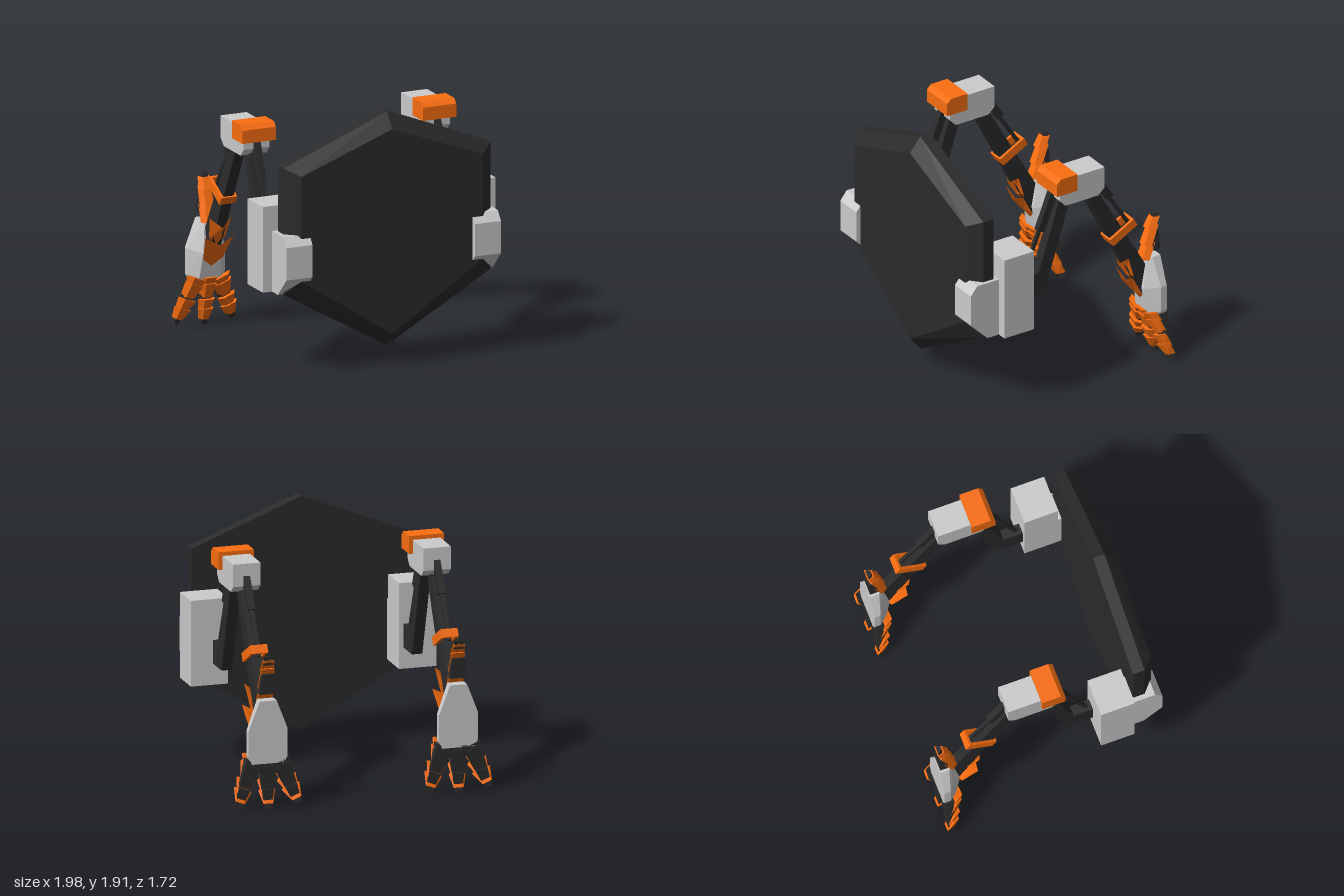
import * as THREE from 'three';
import { ConvexGeometry } from 'three/addons/geometries/ConvexGeometry.js';

const paint = (color) => new THREE.MeshStandardMaterial({ color, flatShading: true });
const grey = paint(0xcccccc);
const dark = paint(0x2b2b2b);
const orange = paint(0xfa6e10);
const thinOrange = paint(0xfa6e10);
thinOrange.side = THREE.DoubleSide;

function add(parent, name, geometry, material) {
  const mesh = new THREE.Mesh(geometry, material);
  mesh.name = name;
  parent.add(mesh);
  return mesh;
}

const hull = (points) => new ConvexGeometry(points.map((p) => new THREE.Vector3(...p)));

// Side profile of [z, y] points, extruded across x
function prism(profile, width) {
  const shape = new THREE.Shape(profile.map(([z, y]) => new THREE.Vector2(z, y)));
  const geo = new THREE.ExtrudeGeometry(shape, { depth: width, bevelEnabled: false });
  geo.rotateY(-Math.PI / 2);
  return geo.translate(width / 2, 0, 0);
}

// Straight bar between two [z, y] points
function bar([z0, y0], [z1, y1], thickness, width) {
  const len = Math.hypot(z1 - z0, y1 - y0);
  const nz = (-(y1 - y0) / len) * thickness / 2;
  const ny = ((z1 - z0) / len) * thickness / 2;
  return prism([[z0 + nz, y0 + ny], [z0 - nz, y0 - ny], [z1 - nz, y1 - ny], [z1 + nz, y1 + ny]], width);
}

// Hexagonal shield with a bevelled front
function shield() {
  const hex = (w, top, upper, lower, bottom, z) => [
    [0, top, z], [w, upper, z], [w, lower, z], [0, bottom, z], [-w, lower, z], [-w, upper, z],
  ];
  return hull([
    ...hex(0.837, 1.92, 1.59, 0.63, 0.15, 0.64),
    ...hex(0.837, 1.92, 1.59, 0.63, 0.15, 0.73),
    ...hex(0.735, 1.81, 1.535, 0.74, 0.26, 0.82),
  ]);
}

// Finger pointing down local -y; knuckles and scales are [start, end] distances
const BACK = -0.85;
const fingerFront = (s) => -0.745 - 0.23 * s;
function finger(name, knuckles, scales, scaleWidth) {
  const group = new THREE.Group();
  group.name = name;
  for (const [s0, s1] of knuckles) {
    const points = [];
    for (const s of [s0, s1]) {
      const w = 0.068 - 0.11 * s;
      for (const k of [-1, 1]) {
        points.push([k * w, -s, BACK], [k * w, -s, fingerFront(s) - 0.03], [k * w * 0.6, -s, fingerFront(s)]);
      }
    }
    add(group, 'knuckle', hull(points), dark);
  }
  scales.forEach(([s0, s1], i) => {
    const points = [];
    for (const [s, w, lift] of [[s0, scaleWidth - 0.004 * i, 0.035], [s1, 0.06 - 0.007 * i, 0.01]]) {
      const z = fingerFront(s) + lift;
      for (const k of [-1, 1]) {
        points.push([k * w, -s, z - 0.05], [k * w * 0.55, -s, z], [k * w * 0.8, -s, z - 0.055]);
      }
    }
    add(group, 'fingerScale', hull(points), orange);
  });
  return group;
}

function hand() {
  const group = new THREE.Group();
  group.name = 'hand';
  // Palm: flat back, bevelled front
  const points = [];
  const outline = (rows) => rows.forEach(([w, y, z]) => points.push([w, y, z], [-w, y, z]));
  outline([[0.065, 0.82, BACK], [0.15, 0.6, BACK], [0.15, 0.4, BACK], [0.125, 0.345, BACK]]);
  outline([[0.065, 0.82, -0.78], [0.15, 0.6, -0.8], [0.15, 0.4, -0.8], [0.125, 0.345, -0.8]]);
  outline([[0.04, 0.82, -0.745], [0.07, 0.58, -0.7], [0.09, 0.37, -0.735]]);
  add(group, 'palm', hull(points), grey);

  const knuckles = [[0, 0.03], [0.035, 0.205], [0.21, 0.295], [0.295, 0.355]];
  const scales = [[-0.025, 0.06], [0.025, 0.14], [0.15, 0.25], [0.225, 0.315]];
  for (const side of [-1, 0, 1]) {
    const f = finger('finger', knuckles, scales, side ? 0.085 : 0.076);
    f.position.set(side * 0.1, 0.36, 0);
    f.rotation.z = side * 0.38;
    group.add(f);
  }
  const thumb = finger('thumb', [[0.05, 0.2], [0.27, 0.335]], [[-0.02, 0.11], [0.09, 0.24], [0.22, 0.305]], 0.065);
  thumb.position.y = 0.82;
  thumb.rotation.z = Math.PI;
  group.add(thumb);
  return group;
}

// Folded, pointed plate: rows are [halfWidth, y, z], creased down the middle
function fin(rows, ridge) {
  const pts = [];
  rows.forEach(([w, y, z], i) => pts.push(-w, y, z, 0, ...ridge[i], w, y, z));
  const index = [];
  for (let r = 0; r < rows.length - 1; r++) {
    for (let c = 0; c < 2; c++) {
      const a = r * 3 + c;
      index.push(a, a + 3, a + 1, a + 1, a + 3, a + 4);
    }
  }
  const geo = new THREE.BufferGeometry();
  geo.setAttribute('position', new THREE.Float32BufferAttribute(pts, 3));
  geo.setIndex(index);
  geo.computeVertexNormals();
  return geo;
}

function arm(side) {
  const group = new THREE.Group();
  group.name = side > 0 ? 'leftArm' : 'rightArm';
  group.position.x = side * 0.73;

  // Shoulder mount gripping the shield
  const block = new THREE.BoxGeometry(0.287, 0.65, 0.26).translate(side * 0.068, 0.955, 0.48);
  add(group, 'shoulderBlock', block, grey);
  const clamp = prism([[0.61, 1.09], [0.8, 1.09], [0.855, 1.02], [0.855, 0.775], [0.71, 0.63], [0.61, 0.63]], 0.212);
  add(group, 'shoulderClamp', clamp, grey).position.x = side * 0.032;

  // Upper arm with its piston
  add(group, 'upperArm', prism([[0.36, 0.97], [0.2, 0.97], [0.02, 1.52], [-0.08, 1.52], [0.15, 0.79], [0.36, 0.79]], 0.08), dark);
  add(group, 'upperPistonRod', bar([0.315, 0.95], [0.15, 1.35], 0.025, 0.025), dark);
  add(group, 'upperPistonSleeve', bar([0.165, 1.3], [0.03, 1.64], 0.06, 0.05), dark);

  // Elbow with cap
  add(group, 'elbow', prism([[0.055, 1.725], [0.055, 1.56], [0.005, 1.505], [-0.28, 1.505], [-0.335, 1.555], [-0.335, 1.725]], 0.21), grey);
  add(group, 'elbowCap', prism([[0.1, 1.62], [0.1, 1.72], [0.065, 1.755], [-0.08, 1.755], [-0.08, 1.62]], 0.27), orange);

  // Forearm with its piston
  add(group, 'forearm', prism([[-0.2, 1.515], [-0.31, 1.515], [-0.735, 0.765], [-0.75, 0.57], [-0.7, 0.52]], 0.08), dark);
  add(group, 'lowerPistonSleeve', bar([-0.31, 1.62], [-0.442, 1.4], 0.055, 0.05), dark);
  add(group, 'lowerPistonRod', bar([-0.42, 1.43], [-0.63, 1.1], 0.025, 0.025), dark);

  // Band around the forearm
  const rect = (w, h) => [[-w, -h], [w, -h], [w, h], [-w, h]].map(([x, y]) => new THREE.Vector2(x, y));
  const frame = new THREE.Shape(rect(0.065, 0.12));
  frame.holes.push(new THREE.Path(rect(0.043, 0.1)));
  const band = new THREE.ExtrudeGeometry(frame, { depth: 0.066, bevelEnabled: false });
  band.translate(0, 0, -0.033).rotateX(-1.07).translate(0, 1.1, -0.53);
  add(group, 'forearmBand', band, orange);

  // Wrist fins
  add(group, 'upperFin', fin(
    [[0.09, 0.885, -0.555], [0.065, 0.72, -0.615], [0, 0.61, -0.67]],
    [[0.81, -0.52], [0.7, -0.595], [0.61, -0.67]]), thinOrange);
  add(group, 'lowerFin', fin(
    [[0.115, 0.73, -0.575], [0.08, 0.54, -0.685], [0, 0.475, -0.715]],
    [[0.67, -0.555], [0.53, -0.67], [0.475, -0.715]]), thinOrange);

  group.add(hand());
  return group;
}

export function createModel() {
  const model = new THREE.Group();
  model.name = 'armedShield';
  add(model, 'shield', shield(), dark).position.x = 0.005;
  for (const side of [-1, 1]) model.add(arm(side));
  return model;
}
